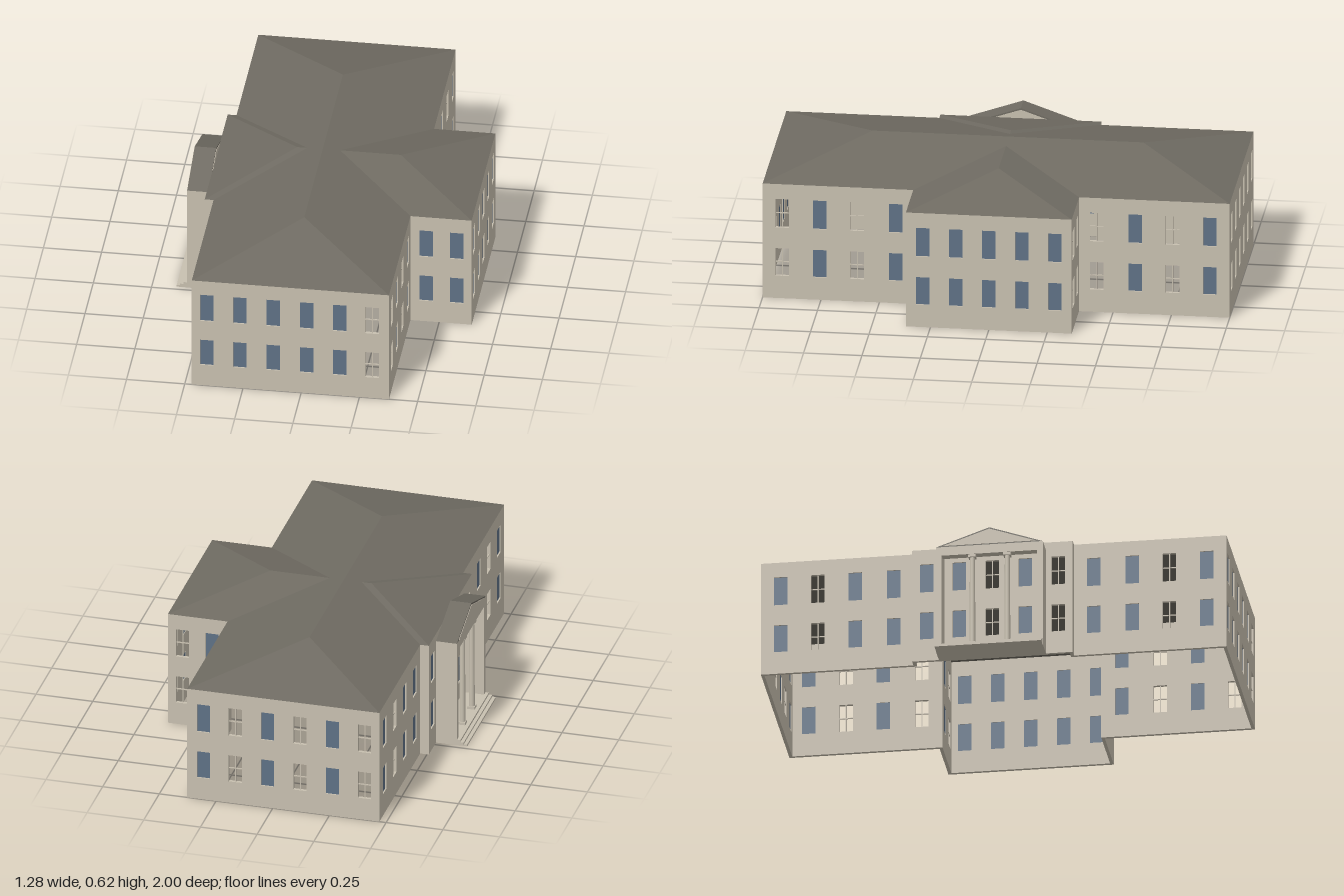
import * as THREE from 'three';

export function createModel() {
  const model = new THREE.Group();
  model.name = 'building';
  const mat = (name, color, side = THREE.FrontSide) => {
    const m = new THREE.MeshStandardMaterial({ color, side });
    m.name = name;
    return m;
  };
  const stone = mat('stone', 0xc8c0b0);
  const slate = mat('slate', 0x6f6b62);
  const glass = mat('glass', 0x5f7186);

  const EAVE = 0.52, T = 0.014, WIN_W = 0.058;
  const FLOORS = [[0.102, 0.227], [0.322, 0.452]];

  const add = (parent, name, geo, material, x = 0, y = 0, z = 0) => {
    const m = new THREE.Mesh(geo, material);
    m.name = name;
    m.position.set(x, y, z);
    parent.add(m);
    return m;
  };
  const box = (parent, name, material, x0, x1, y0, y1, z0, z1) =>
    add(parent, name, new THREE.BoxGeometry(x1 - x0, y1 - y0, z1 - z0), material,
      (x0 + x1) / 2, (y0 + y1) / 2, (z0 + z1) / 2);

  // Wall from a to b in its own plane; side turns it outward, at is its distance from the centre.
  // Columns listed in unglazed keep only their glazing bars.
  function wall(name, side, at, a, b, columns = [], unglazed = []) {
    const g = new THREE.Group();
    g.name = name;
    const sign = side === 'front' || side === 'left' ? 1 : -1; // world axis to local x
    const turn = { front: 0, right: Math.PI / 2, back: Math.PI, left: -Math.PI / 2 }[side];
    const [l, r] = sign > 0 ? [a, b] : [-b, -a];
    const shape = new THREE.Shape([[l, 0], [r, 0], [r, EAVE], [l, EAVE]].map(p => new THREE.Vector2(...p)));
    for (const c of columns) {
      const x = c * sign, x0 = x - WIN_W / 2, x1 = x + WIN_W / 2;
      for (const [y0, y1] of FLOORS) {
        shape.holes.push(new THREE.Path(
          [[x0, y0], [x0, y1], [x1, y1], [x1, y0]].map(p => new THREE.Vector2(...p))));
        if (unglazed.includes(c)) {
          const ym = y0 + (y1 - y0) / 2;
          box(g, 'uprightBar', stone, x - 0.002, x + 0.002, y0, y1, -0.011, -0.006);
          box(g, 'crossBar', stone, x0, x1, ym - 0.002, ym + 0.002, -0.011, -0.006);
        } else {
          box(g, 'windowPane', glass, x0, x1, y0, y1, -0.011, -0.006);
        }
      }
    }
    const geo = new THREE.ExtrudeGeometry(shape, { depth: T, bevelEnabled: false });
    add(g, 'wallPanel', geo, stone, 0, 0, -T);
    g.rotation.y = turn;
    if (side === 'front' || side === 'back') g.position.z = at;
    else g.position.x = at;
    model.add(g);
  }

  // Roof with its ridge along x; sloping ends where the ridge is shorter than the eaves
  function ridgeRoof(name, x0, x1, r0, r1, half, y0, y1) {
    const A = [x0, y0, half], B = [x1, y0, half], C = [x1, y0, -half], D = [x0, y0, -half];
    const P = [r0, y1, 0], Q = [r1, y1, 0];
    const tris = [A, B, Q, A, Q, P, C, D, P, C, P, Q, B, C, Q, D, A, P, A, D, C, A, C, B];
    const geo = new THREE.BufferGeometry();
    geo.setAttribute('position', new THREE.Float32BufferAttribute(tris.flat(), 3));
    geo.computeVertexNormals();
    return add(model, name, geo, slate);
  }

  // Main block
  const L = -0.47, R = 0.377, W = 0.64, BX = -0.508, WZ = 0.355, BZ = 0.345;
  const across = [-0.405, -0.263, -0.12, 0.023, 0.165, 0.305];
  const frontRun = [0.43, 0.595, 0.755, 0.915], backRun = frontRun.map(z => -z);
  const five = [-0.283, -0.142, 0, 0.142, 0.283];
  wall('frontWall', 'front', 1, L, R, across, [0.305]);
  wall('backWall', 'back', -1, L, R, across, [-0.405, -0.12, 0.165]);
  wall('rightFrontWall', 'right', R, WZ, 1, frontRun, [0.595, 0.915]);
  wall('rightBackWall', 'right', R, -1, -WZ, backRun, [-0.43, -0.755]);
  wall('leftFrontWall', 'left', L, BZ, 1, frontRun, [0.755]);
  wall('leftBackWall', 'left', L, -1, -BZ, backRun, [-0.755]);

  // Side wing
  wall('wingEndWall', 'right', W, -WZ, WZ, five);
  wall('wingFrontWall', 'front', WZ, R - T, W, [0.445, 0.575]);
  wall('wingBackWall', 'back', -WZ, R - T, W, [0.445, 0.575], [0.575]);

  // Shallow projecting bay behind the portico
  wall('bayWall', 'left', BX, -BZ, BZ, five, [0, 0.283]);
  wall('bayFrontReturn', 'front', BZ, BX, L + T);
  wall('bayBackReturn', 'back', -BZ, BX, L + T);

  // Hipped roofs
  const main = ridgeRoof('mainRoof', -1, 1, -0.58, 0.58, (R - L) / 2, EAVE, 0.616);
  main.rotation.y = Math.PI / 2;
  main.position.x = (L + R) / 2;
  ridgeRoof('wingRoof', 0, W, 0, 0.285, WZ, EAVE, 0.6);
  ridgeRoof('bayRoof', BX, -0.1, -0.16, -0.1, BZ, EAVE, 0.6);

  // Portico: solid cheeks, two columns, lintel and gable
  const portico = new THREE.Group();
  portico.name = 'portico';
  model.add(portico);
  const PX = -0.6, PZ = 0.23, PY = 0.485;
  for (const s of [-1, 1]) {
    const z = s * (PZ - 0.0125);
    box(portico, 'cheekWall', stone, PX, BX, 0, PY, z - 0.0125, z + 0.0125);
    add(portico, 'column', new THREE.CylinderGeometry(0.011, 0.013, 0.42, 16), stone, PX + 0.018, 0.235, s * 0.075);
    box(portico, 'columnBase', stone, PX + 0.002, PX + 0.034, 0.025, 0.037, s * 0.075 - 0.016, s * 0.075 + 0.016);
    box(portico, 'columnCapital', stone, PX + 0.002, PX + 0.034, 0.433, 0.445, s * 0.075 - 0.016, s * 0.075 + 0.016);
  }
  box(portico, 'lintel', stone, PX, PX + 0.035, 0.445, PY, -PZ + 0.025, PZ - 0.025);
  ridgeRoof('porticoRoof', PX, BX, PX, BX, PZ, PY, 0.565);

  // Gable faces at both ends of the portico roof
  const gable = new THREE.Shape([[-PZ + 0.03, PY + 0.004], [PZ - 0.03, PY + 0.004], [0, 0.558]]
    .map(p => new THREE.Vector2(...p)));
  for (const [x, turn] of [[PX, -1], [BX, 1]]) {
    const geo = new THREE.ExtrudeGeometry(gable, { depth: 0.002, bevelEnabled: false });
    add(portico, 'gableFace', geo, stone, x, 0, 0).rotation.y = turn * Math.PI / 2;
  }

  // Entrance steps
  [[-0.645, 0, 0.008], [-0.63, 0.008, 0.016], [-0.615, 0.016, 0.025]].forEach(([x, y0, y1]) =>
    box(portico, 'step', stone, x, BX, y0, y1, -PZ + 0.001, PZ - 0.001));

  return model;
}
